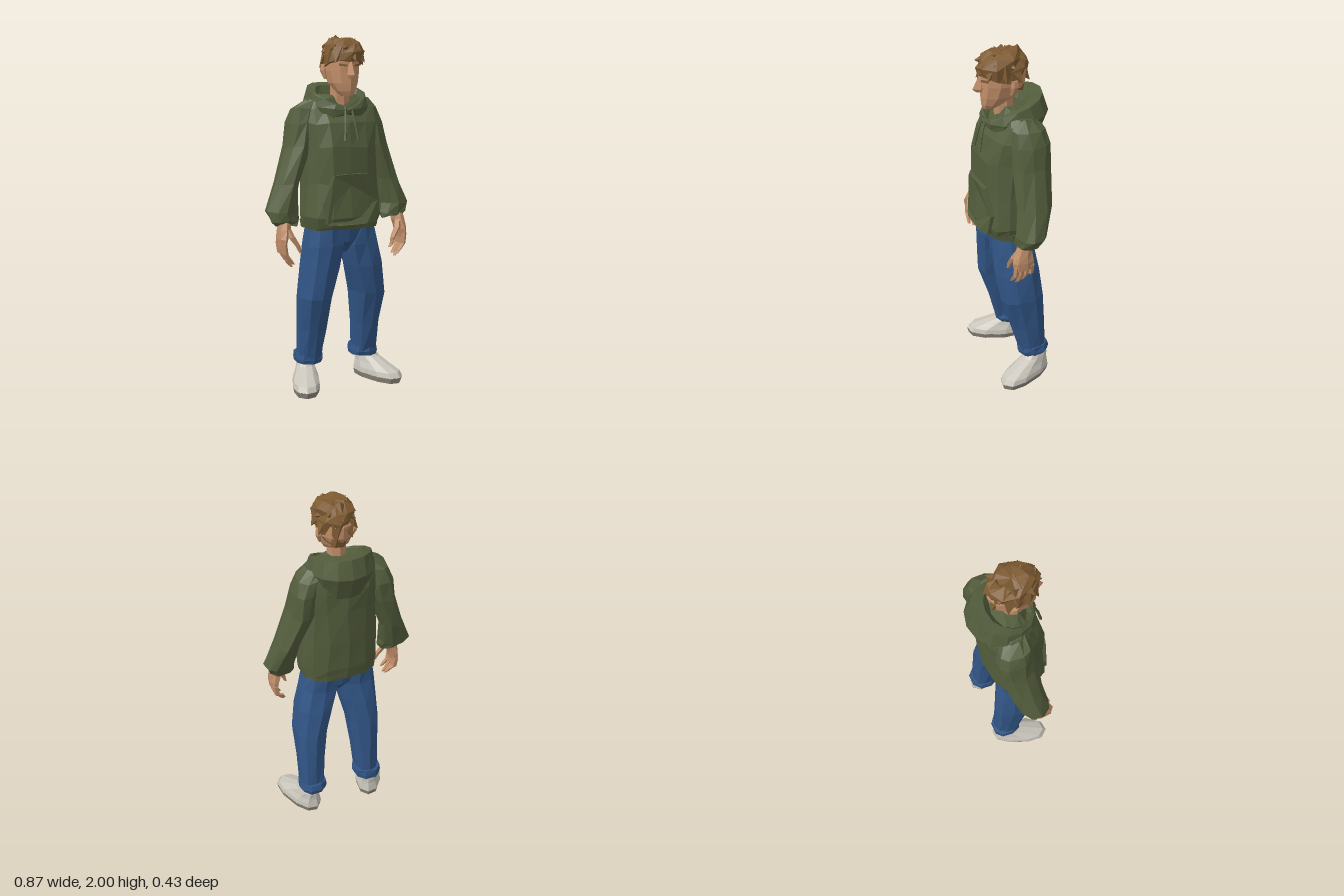
import * as THREE from 'three';

const mat = (name, color) => Object.assign(new THREE.MeshStandardMaterial({ color }), { name });

export function createModel() {
  const model = new THREE.Group();
  model.name = 'standingMan';
  const green = mat('oliveCloth', 0x535d3c), denim = mat('blueDenim', 0x315586), skin = mat('skin', 0xc28f6a);
  const hairMat = mat('brownHair', 0x7f5c33), white = mat('shoeWhite', 0xc9c5bb), sole = mat('soleGrey', 0x8a8279);

  let seed = 7;
  const rnd = () => ((seed = (seed * 16807) % 2147483647) / 2147483647) - 0.5;

  // Flat facets without shared vertices
  const facet = (g) => {
    const f = g.index ? g.toNonIndexed() : g;
    f.computeVertexNormals();
    return f;
  };
  const add = (name, geo, material, parent = model) => {
    const m = new THREE.Mesh(facet(geo), material);
    m.name = name;
    parent.add(m);
    return m;
  };

  // Superelliptic cross-section; angle 0 faces the front
  const ring = (n, [y, cx, cz, rx, rz], p = 2, jit = 0) => Array.from({ length: n }, (_, j) => {
    const a = (j / n) * Math.PI * 2, s = Math.sin(a), c = Math.cos(a), e = 2 / p;
    return [cx + rx * Math.sign(s) * Math.abs(s) ** e + rnd() * jit, y + rnd() * jit,
      cz + rz * Math.sign(c) * Math.abs(c) ** e + rnd() * jit];
  });

  // Skin over rings listed from bottom to top, closed at both ends
  const skinRings = (rings) => {
    const n = rings[0].length, pos = rings.flat(2), idx = [];
    const centre = (r) => {
      for (let k = 0; k < 3; k++) pos.push(r.reduce((t, v) => t + v[k], 0) / n);
      return pos.length / 3 - 1;
    };
    const c0 = centre(rings[0]), c1 = centre(rings.at(-1)), last = (rings.length - 1) * n;
    for (let j = 0; j < n; j++) {
      const k = (j + 1) % n;
      for (let i = 0; i < last; i += n) idx.push(i + j, i + k, i + n + k, i + j, i + n + k, i + n + j);
      idx.push(c0, k, j, c1, last + j, last + k);
    }
    const g = new THREE.BufferGeometry();
    g.setAttribute('position', new THREE.Float32BufferAttribute(pos, 3));
    g.setIndex(idx);
    return g;
  };
  const loft = (n, rows, p, jit) => skinRings(rows.map((r) => ring(n, r, p, jit)));

  // Hoodie body and hem band
  add('hoodieBody', loft(14, [
    [0.965, 0, 0.022, 0.218, 0.162], [1.02, 0, 0.026, 0.232, 0.174], [1.2, 0, 0.017, 0.215, 0.167],
    [1.4, 0, 0.012, 0.21, 0.165], [1.53, 0, -0.005, 0.222, 0.148], [1.61, 0, -0.02, 0.215, 0.12],
    [1.65, 0, -0.025, 0.18, 0.09], [1.68, 0, -0.02, 0.11, 0.06]], 2.5, 0.014), green);
  add('hoodieHem', loft(14, [[0.945, 0, 0.017, 0.222, 0.152], [0.99, 0, 0.022, 0.228, 0.162]], 2.5, 0.008), green);

  // Hood: an outer bag folding over a rim into an inner bowl
  const hoodRows = [ // half width, front z, back z, front y, back y
    [0.1, 0.1, -0.1, 1.57, 1.48], [0.155, 0.145, -0.165, 1.585, 1.5], [0.185, 0.15, -0.218, 1.6, 1.64],
    [0.162, 0.142, -0.188, 1.612, 1.742], [0.135, 0.13, -0.112, 1.61, 1.732],
    [0.115, 0.11, -0.09, 1.6, 1.69], [0.07, 0.09, -0.05, 1.57, 1.61]];
  add('hood', skinRings(hoodRows.map(([w, zf, zb, yf, yb]) => Array.from({ length: 14 }, (_, j) => {
    const a = (j / 14) * Math.PI * 2, b = (1 - Math.cos(a)) / 2;
    return [w * Math.sin(a) + rnd() * 0.008, yf + (yb - yf) * b ** 0.6 + rnd() * 0.008, zf + (zb - zf) * b];
  }))), green);

  // Front pocket, wrapped around the belly
  const half = [[0.08, 0.98], [0.15, 0.985], [0.165, 1.1], [0.108, 1.25], [0.05, 1.257]];
  const outline = [...half, ...half.map(([x, y]) => [-x, y]).reverse()];
  const pocket = new THREE.ExtrudeGeometry(new THREE.Shape(outline.map((p) => new THREE.Vector2(...p))),
    { depth: 0.08, bevelEnabled: false });
  const pp = pocket.attributes.position;
  for (let i = 0; i < pp.count; i++) {
    pp.setZ(i, pp.getZ(i) + 0.138 - 1.5 * pp.getX(i) ** 2 - 0.06 * (pp.getY(i) - 1));
  }
  add('frontPocket', pocket, green);

  // Parts that come in pairs
  for (const s of [-1, 1]) {
    const side = s > 0 ? 'left' : 'right';
    const mirror = (rows) => rows.map(([y, x, ...r]) => [y, x * s, ...r]);

    add(side + 'Sleeve', loft(9, mirror([
      [0.98, 0.325, 0.045, 0.062, 0.045], [1.0, 0.335, 0.032, 0.08, 0.062], [1.05, 0.347, 0.015, 0.084, 0.08],
      [1.2, 0.303, -0.02, 0.072, 0.092], [1.4, 0.236, -0.038, 0.073, 0.105], [1.53, 0.21, -0.04, 0.07, 0.106],
      [1.605, 0.188, -0.035, 0.064, 0.09], [1.65, 0.15, -0.03, 0.045, 0.055]]), 2.2, 0.018), green);
    add(side + 'Drawstring', loft(4, mirror([
      [1.44, 0.04, 0.18, 0.008, 0.008], [1.53, 0.028, 0.163, 0.007, 0.008], [1.62, 0.018, 0.135, 0.007, 0.008]])), green);

    // Hand with four curled fingers and a thumb
    const hand = new THREE.Group();
    hand.name = side + 'Hand';
    model.add(hand);
    add('palm', loft(7, mirror([
      [0.86, 0.372, 0.062, 0.02, 0.058], [0.91, 0.368, 0.065, 0.028, 0.063],
      [0.96, 0.355, 0.06, 0.037, 0.05], [1.03, 0.345, 0.042, 0.04, 0.038]])), skin, hand);
    for (let i = 0; i < 4; i++) {
      const z = 0.018 + i * 0.029, tip = [0.79, 0.762, 0.752, 0.77][i];
      add('finger', loft(5, mirror([
        [tip, 0.322, z + 0.01, 0.008, 0.009], [tip + 0.025, 0.342, z + 0.006, 0.014, 0.014],
        [0.825, 0.365, z + 0.003, 0.016, 0.016], [0.885, 0.372, z, 0.017, 0.017]])), skin, hand);
    }
    add('thumb', loft(5, mirror([
      [0.83, 0.282, 0.118, 0.007, 0.009], [0.87, 0.296, 0.115, 0.015, 0.015],
      [0.92, 0.328, 0.105, 0.02, 0.02], [0.965, 0.345, 0.08, 0.022, 0.022]])), skin, hand);

    // Trouser leg and turned-up cuff; the stance is a little wider on the left
    const d = s > 0 ? 0.045 : 0;
    add(side + 'TrouserLeg', loft(10, [
      [0.15, s * 0.155 + d, -0.07, 0.068, 0.078], [0.35, s * 0.15 + d, -0.04, 0.08, 0.1],
      [0.55, s * 0.147 + d * 0.85, -0.005, 0.095, 0.132], [0.72, s * 0.12 + d * 0.65, 0.012, 0.11, 0.132],
      [0.85, s * 0.1 + d * 0.35, 0.025, 0.115, 0.122], [0.97, s * 0.098, 0.025, 0.1, 0.122]], 2.3, 0.012), denim);
    add(side + 'TrouserCuff', loft(9, [
      [0.14, s * 0.155 + d, -0.073, 0.078, 0.085], [0.165, s * 0.155 + d, -0.073, 0.085, 0.092],
      [0.2, s * 0.155 + d, -0.073, 0.078, 0.088]], 2.3, 0.008), denim);

    // Shoe, toes turned out
    const shoe = new THREE.Group();
    shoe.name = side + 'Shoe';
    shoe.position.set(s > 0 ? 0.262 : -0.202, 0, 0.004);
    shoe.rotation.y = s * 0.37;
    model.add(shoe);
    add('sole', loft(10, [[0, 0, 0, 0.073, 0.168], [0.033, 0, 0, 0.08, 0.176]], 2.4), sole, shoe);
    add('upper', loft(10, [
      [0.031, 0, 0, 0.08, 0.176], [0.06, 0, -0.008, 0.076, 0.163], [0.092, 0, -0.045, 0.062, 0.12],
      [0.125, 0, -0.085, 0.053, 0.08], [0.15, 0, -0.095, 0.045, 0.062]], 2.4), white, shoe);

    // Ear and brow
    add(side + 'Ear', loft(5, [[1.765, 0.008 + s * 0.088, 0.015, 0.008, 0.012],
      [1.81, 0.008 + s * 0.1, 0.005, 0.014, 0.024], [1.845, 0.008 + s * 0.1, 0.005, 0.01, 0.02]]), skin);
    const brow = add(side + 'Brow', new THREE.BoxGeometry(0.045, 0.011, 0.009), hairMat);
    brow.position.set(0.005 + s * 0.042, 1.842, 0.148);
    brow.rotation.set(0, s * 0.5, s * 0.12);
  }

  // Seat of the trousers
  add('trouserSeat', loft(12, [
    [0.8, 0.012, 0.02, 0.03, 0.05], [0.87, 0.01, 0.025, 0.15, 0.11], [1.0, 0, 0.025, 0.2, 0.13]], 2.4), denim);

  // Neck, head and nose
  add('neck', loft(8, [[1.55, 0, 0.015, 0.065, 0.06], [1.64, 0, 0.025, 0.055, 0.055], [1.75, 0, 0.03, 0.055, 0.06]]), skin);
  add('head', loft(10, [
    [1.675, 0.005, 0.108, 0.028, 0.036], [1.7, 0.005, 0.087, 0.052, 0.066], [1.745, 0.005, 0.055, 0.078, 0.102],
    [1.81, 0.007, 0.034, 0.092, 0.124], [1.88, 0.007, 0.03, 0.093, 0.13], [1.95, 0.007, 0.03, 0.07, 0.1]], 2.2), skin);
  add('nose', loft(4, [
    [1.772, 0.005, 0.155, 0.016, 0.025], [1.79, 0.005, 0.16, 0.022, 0.04], [1.865, 0.005, 0.145, 0.01, 0.018]]), skin);

  // Hair cap, low at the nape, with broad tufts around the rim and crown
  const hair = new THREE.Group();
  hair.name = 'hair';
  model.add(hair);
  const cap = [[1.87, 0.008, 0.035, 0.1, 0.13], [1.905, 0.01, 0.038, 0.11, 0.14],
    [1.955, 0.01, 0.035, 0.096, 0.122], [1.98, 0.008, 0.03, 0.055, 0.075]].map((r) => ring(11, r, 2, 0.026));
  cap[0].forEach((v) => {
    const b = (0.175 - v[2]) / 0.28;
    v[1] -= 0.13 * Math.max(0, b) ** 2;
    if (b > 0.6) v[2] += 0.03;
  });
  add('hairCap', skinRings(cap), hairMat, hair);
  const tuft = (a, y, reach, dy, r, h) => {
    const t = add('hairTuft', new THREE.ConeGeometry(r, h, 4), hairMat, hair);
    const dir = new THREE.Vector3(Math.sin(a), dy, Math.cos(a)).normalize();
    t.position.set(0.01 + 0.1 * reach * Math.sin(a), y, 0.037 + 0.128 * reach * Math.cos(a));
    t.quaternion.setFromUnitVectors(new THREE.Vector3(0, 1, 0), dir);
  };
  for (let i = 0; i < 9; i++) {
    const a = (i / 9) * Math.PI * 2, back = (1 - Math.cos(a)) / 2;
    tuft(a + rnd() * 0.3, 1.893 - back * 0.045, 0.96, -1.3 + rnd(), 0.045, 0.085);
    tuft(a + 0.35, 1.93 + rnd() * 0.02, 0.8, -0.2 + rnd() * 0.8, 0.052, 0.085);
    if (i % 2) tuft(a, 1.962, 0.45, 0.7 + rnd(), 0.05, 0.07);
  }
  return model;
}
